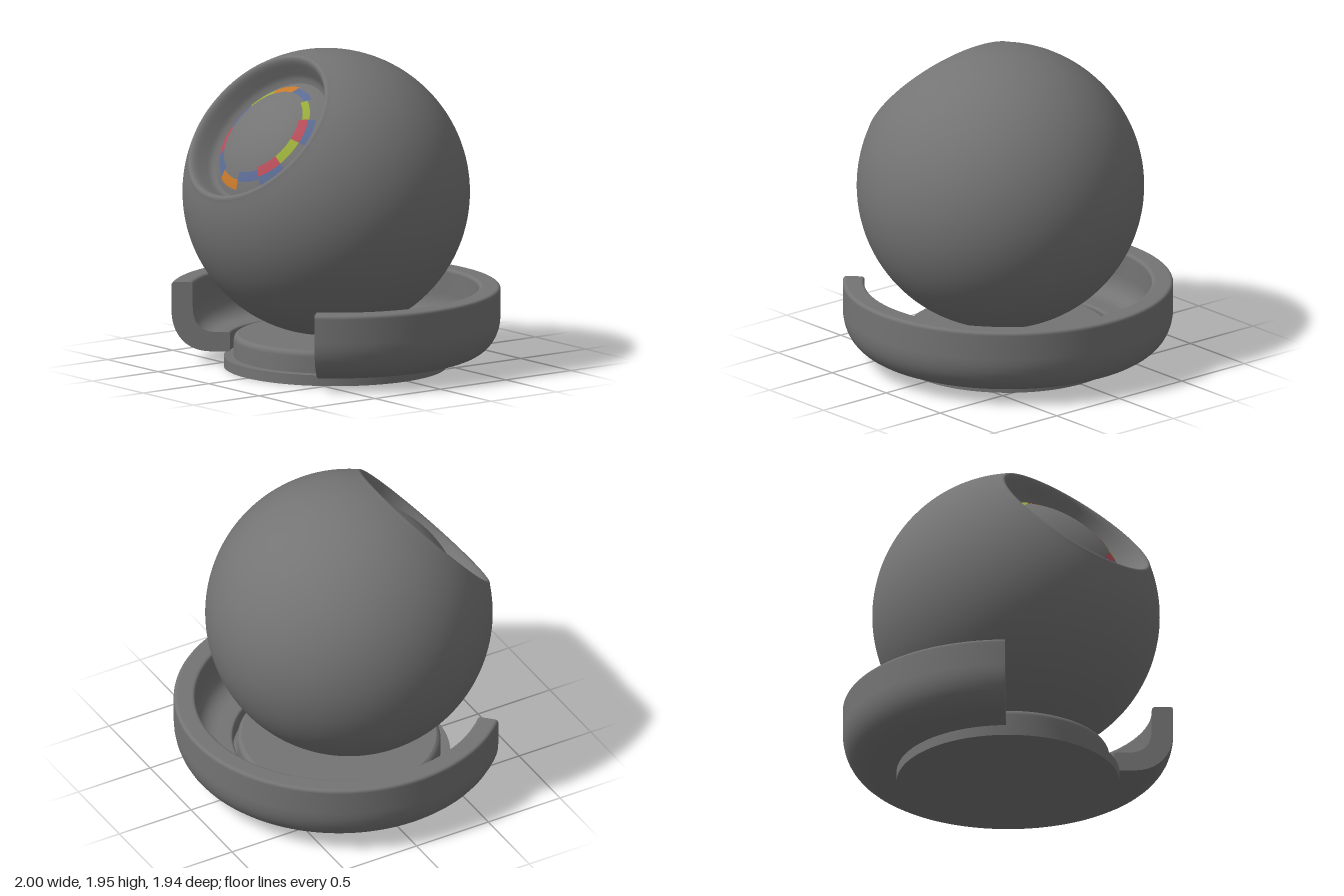
import * as THREE from 'three';

const paint = (name, color) => new THREE.MeshStandardMaterial({ name, color, side: THREE.DoubleSide });
const V = (x, y) => new THREE.Vector2(x, y);

export function createModel() {
  const model = new THREE.Group();
  model.name = 'ballOnStand';
  const grey = paint('grey', 0x747474);
  const colours = {
    orange: paint('orange', 0xc87a2c),
    green: paint('green', 0x98ac3a),
    blue: paint('blue', 0x5c6c94),
    red: paint('red', 0xb84e5a),
  };
  const add = (parent, name, geometry, material = grey) => {
    const mesh = new THREE.Mesh(geometry, material);
    mesh.name = name;
    parent.add(mesh);
    return mesh;
  };

  // Head: everything is turned around local +z, then tipped upwards
  const head = new THREE.Group();
  head.name = 'head';
  head.position.set(0, 1.08, 0.1);
  head.rotation.x = -0.717;
  model.add(head);

  // Ball shell with a rounded rim running into a recess
  const R = 0.87, shell = [], rimAngle = Math.asin(0.682 / R);
  for (let i = 0; i <= 56; i++) {
    const a = -Math.PI / 2 + (rimAngle + Math.PI / 2) * i / 56;
    shell.push(V(i ? R * Math.cos(a) : 0, R * Math.sin(a)));
  }
  const rim = new THREE.SplineCurve([
    V(R * Math.cos(rimAngle), 0.682), V(0.525, 0.695), V(0.508, 0.697),
    V(0.488, 0.675), V(0.465, 0.62), V(0.445, 0.575), V(0.415, 0.545),
  ]);
  shell.push(...rim.getPoints(24).slice(1));
  add(head, 'ballShell', new THREE.LatheGeometry(shell, 96).rotateX(Math.PI / 2));

  // Inner sphere that shows as a domed lens in the recess
  const r = 0.69, lens = [];
  for (let i = 0; i <= 20; i++) {
    const a = 0.66 * (1 - i / 20);
    lens.push(V(r * Math.sin(a), r * Math.cos(a)));
  }
  add(head, 'lens', new THREE.LatheGeometry(lens, 96).rotateX(Math.PI / 2));

  // Coloured marks around the lens: colour, 30 degree sector, inner and outer radius
  const marks = [
    ['red', 0, 0.27, 0.325], ['blue', 0, 0.325, 0.365], ['green', 1, 0.29, 0.33],
    ['blue', 2, 0.31, 0.355], ['orange', 3, 0.31, 0.37], ['green', 4, 0.315, 0.36],
    ['blue', 5, 0.31, 0.37], ['red', 6, 0.31, 0.375], ['blue', 7, 0.31, 0.37],
    ['orange', 8, 0.33, 0.385], ['blue', 9, 0.285, 0.34], ['red', 10, 0.27, 0.325],
    ['blue', 10, 0.325, 0.38], ['green', 11, 0.27, 0.325],
  ];
  for (const [colour, sector, inner, outer] of marks) {
    const g = new THREE.RingGeometry(inner, outer, 12, 3, sector * Math.PI / 6, Math.PI / 6);
    const p = g.attributes.position;
    for (let i = 0; i < p.count; i++) {
      p.setZ(i, Math.sqrt((r + 0.003) ** 2 - p.getX(i) ** 2 - p.getY(i) ** 2));
    }
    g.computeVertexNormals();
    add(head, colour + 'Mark', g, colours[colour]);
  }

  // Stand
  const stand = new THREE.Group();
  stand.name = 'stand';
  stand.position.z = 0.03;
  model.add(stand);

  const foot = add(stand, 'footDisc', new THREE.CylinderGeometry(0.675, 0.675, 0.065, 96));
  foot.position.y = 0.0325;

  add(stand, 'platformSide', new THREE.LatheGeometry([
    V(0.615, 0.06), V(0.615, 0.165), V(0.612, 0.18), V(0.604, 0.193), V(0.59, 0.2),
  ], 96));
  const top = add(stand, 'platformTop', new THREE.CircleGeometry(0.59, 96).rotateX(-Math.PI / 2));
  top.position.y = 0.2;

  // Cradle cross-section: flat floor curving up into an upright wall
  const s = new THREE.Shape();
  s.moveTo(0.665, 0.07);
  s.lineTo(0.77, 0.07);
  s.bezierCurveTo(0.91, 0.07, 1.0, 0.17, 1.0, 0.32);
  s.lineTo(1.0, 0.47);
  s.quadraticCurveTo(1.0, 0.493, 0.975, 0.493);
  s.lineTo(0.895, 0.493);
  s.quadraticCurveTo(0.87, 0.493, 0.87, 0.47);
  s.lineTo(0.87, 0.34);
  s.bezierCurveTo(0.87, 0.24, 0.82, 0.19, 0.74, 0.19);
  s.lineTo(0.66, 0.19);
  s.quadraticCurveTo(0.642, 0.19, 0.642, 0.172);
  s.lineTo(0.642, 0.09);
  s.quadraticCurveTo(0.642, 0.07, 0.665, 0.07);
  const start = Math.PI / 4, sweep = Math.PI * 1.5;
  add(stand, 'cradle', new THREE.LatheGeometry(s.getPoints(10), 96, start, sweep));

  // Flat ends of the cradle either side of the front opening
  for (const [name, phi] of [['leftCradleEnd', start], ['rightCradleEnd', start + sweep]]) {
    add(stand, name, new THREE.ShapeGeometry(s, 10)).rotation.y = phi - Math.PI / 2;
  }
  return model;
}
